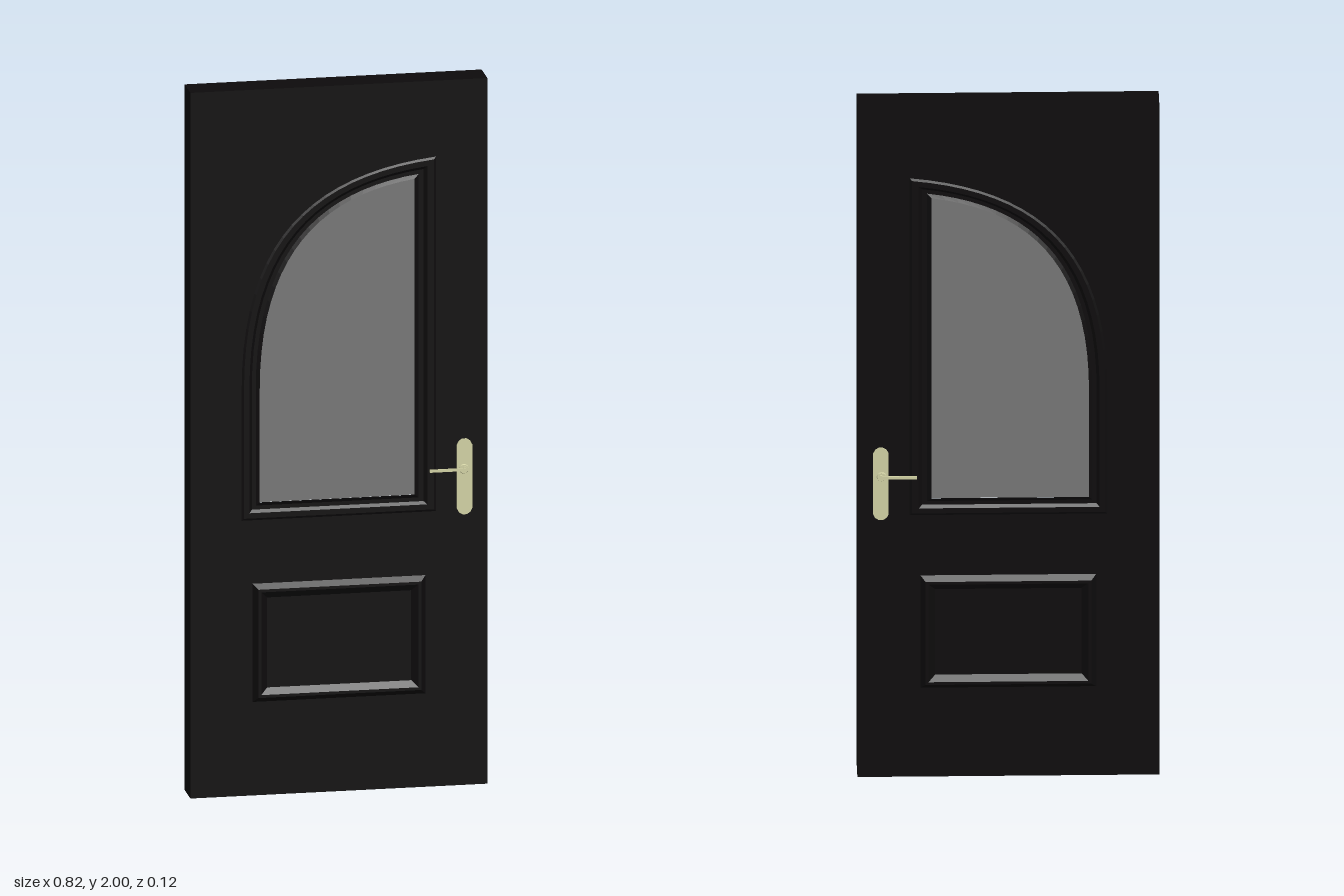
import * as THREE from 'three';

const HALF_DEPTH = 0.044;
const doorMat = new THREE.MeshStandardMaterial({ color: 0x0d0b0c, flatShading: true });
const glassMat = new THREE.MeshStandardMaterial({ color: 0x777777 });
const brassMat = new THREE.MeshStandardMaterial({ color: 0xd2d2a4 });

// Quarter-arched window outline, counter-clockwise; k = 0 at the glass, 1 at the outer moulding
function windowOutline(k) {
  const mix = (a, b) => a + (b - a) * k;
  const left = mix(-0.22, -0.27), right = mix(0.21, 0.27), bottom = mix(0.83, 0.78);
  const arch = new THREE.CubicBezierCurve(
    new THREE.Vector2(right, mix(1.725, 1.785)),
    new THREE.Vector2(mix(-0.05, -0.08), mix(1.69, 1.75)),
    new THREE.Vector2(left, mix(1.53, 1.57)),
    new THREE.Vector2(left, 1.15));
  return [new THREE.Vector2(left, bottom), new THREE.Vector2(right, bottom), ...arch.getPoints(20)];
}

// Lower panel outline, shrunk by an inset
function panelOutline(inset) {
  const w = 0.24 - inset, b = 0.265 + inset, t = 0.6 - inset;
  return [[-w, b], [w, b], [w, t], [-w, t]].map(([x, y]) => new THREE.Vector2(x, y));
}

// Moulding lofted through matching outlines, outer to inner: [outline, z]
function moulding(rings) {
  const pos = [];
  for (let r = 0; r < rings.length - 1; r++) {
    const [outer, zo] = rings[r], [inner, zi] = rings[r + 1];
    for (let i = 0; i < outer.length; i++) {
      const j = (i + 1) % outer.length;
      const a = [outer[i].x, outer[i].y, zo], b = [outer[j].x, outer[j].y, zo];
      const c = [inner[j].x, inner[j].y, zi], d = [inner[i].x, inner[i].y, zi];
      pos.push(...a, ...b, ...c, ...a, ...c, ...d);
    }
  }
  const g = new THREE.BufferGeometry();
  g.setAttribute('position', new THREE.Float32BufferAttribute(pos, 3));
  g.computeVertexNormals();
  return g;
}

function extrude(points, depth, hole) {
  const shape = new THREE.Shape(points);
  if (hole) shape.holes.push(new THREE.Path(hole));
  return new THREE.ExtrudeGeometry(shape, { depth, bevelEnabled: false });
}

function add(parent, name, geometry, material, x = 0, y = 0, z = 0) {
  const mesh = new THREE.Mesh(geometry, material);
  mesh.name = name;
  mesh.position.set(x, y, z);
  parent.add(mesh);
  return mesh;
}

// Backplate, rose, spindle and lever
function createHandle() {
  const handle = new THREE.Group();
  handle.name = 'handle';
  const plate = [];
  for (let i = 0; i < 12; i++) {
    const a = (i + 0.5) / 12 * Math.PI * 2;
    plate.push(new THREE.Vector2(0.022 * Math.cos(a), 0.024 * Math.sin(a) + (i < 6 ? 0.084 : -0.084)));
  }
  add(handle, 'backplate', extrude(plate, 0.004), brassMat, 0.348, 0.875, HALF_DEPTH);
  const rose = new THREE.CylinderGeometry(0.012, 0.014, 0.004, 20).rotateX(Math.PI / 2);
  add(handle, 'rose', rose, brassMat, 0.346, 0.897, HALF_DEPTH + 0.005);
  const spindle = new THREE.CylinderGeometry(0.007, 0.007, 0.011, 16).rotateX(Math.PI / 2);
  add(handle, 'spindle', spindle, brassMat, 0.348, 0.897, HALF_DEPTH + 0.0075);
  add(handle, 'lever', new THREE.BoxGeometry(0.108, 0.008, 0.004), brassMat, 0.304, 0.897, HALF_DEPTH + 0.012);
  return handle;
}

export function createModel() {
  const door = new THREE.Group();
  door.name = 'door';

  // Slab with the window cut through
  const slab = [[-0.412, 0], [0.412, 0], [0.412, 2], [-0.412, 2]].map(([x, y]) => new THREE.Vector2(x, y));
  add(door, 'slab', extrude(slab, 2 * HALF_DEPTH, windowOutline(1)), doorMat, 0, 0, -HALF_DEPTH);
  add(door, 'glass', extrude(windowOutline(0), 2 * HALF_DEPTH), glassMat, 0, 0, -HALF_DEPTH);

  const windowProfile = [[1, 0.044], [0.88, 0.047], [0.58, 0.047], [0.42, 0.04], [0.2, 0.04], [0, 0.045]];
  const windowGeo = moulding(windowProfile.map(([k, z]) => [windowOutline(k), z]));
  const panelProfile = [[0, 0.044], [0.014, 0.058], [0.022, 0.058], [0.04, 0.047]];
  const panelGeo = moulding(panelProfile.map(([inset, z]) => [panelOutline(inset), z]));
  const fieldGeo = new THREE.ShapeGeometry(new THREE.Shape(panelOutline(0.04))).translate(0, 0, 0.047);

  // Same fittings on both faces
  for (const side of [1, -1]) {
    const face = new THREE.Group();
    face.name = side > 0 ? 'frontFace' : 'backFace';
    add(face, 'windowMoulding', windowGeo, doorMat);
    add(face, 'panelMoulding', panelGeo, doorMat);
    add(face, 'panelField', fieldGeo, doorMat);
    face.add(createHandle());
    face.scale.z = side;
    door.add(face);
  }
  return door;
}
